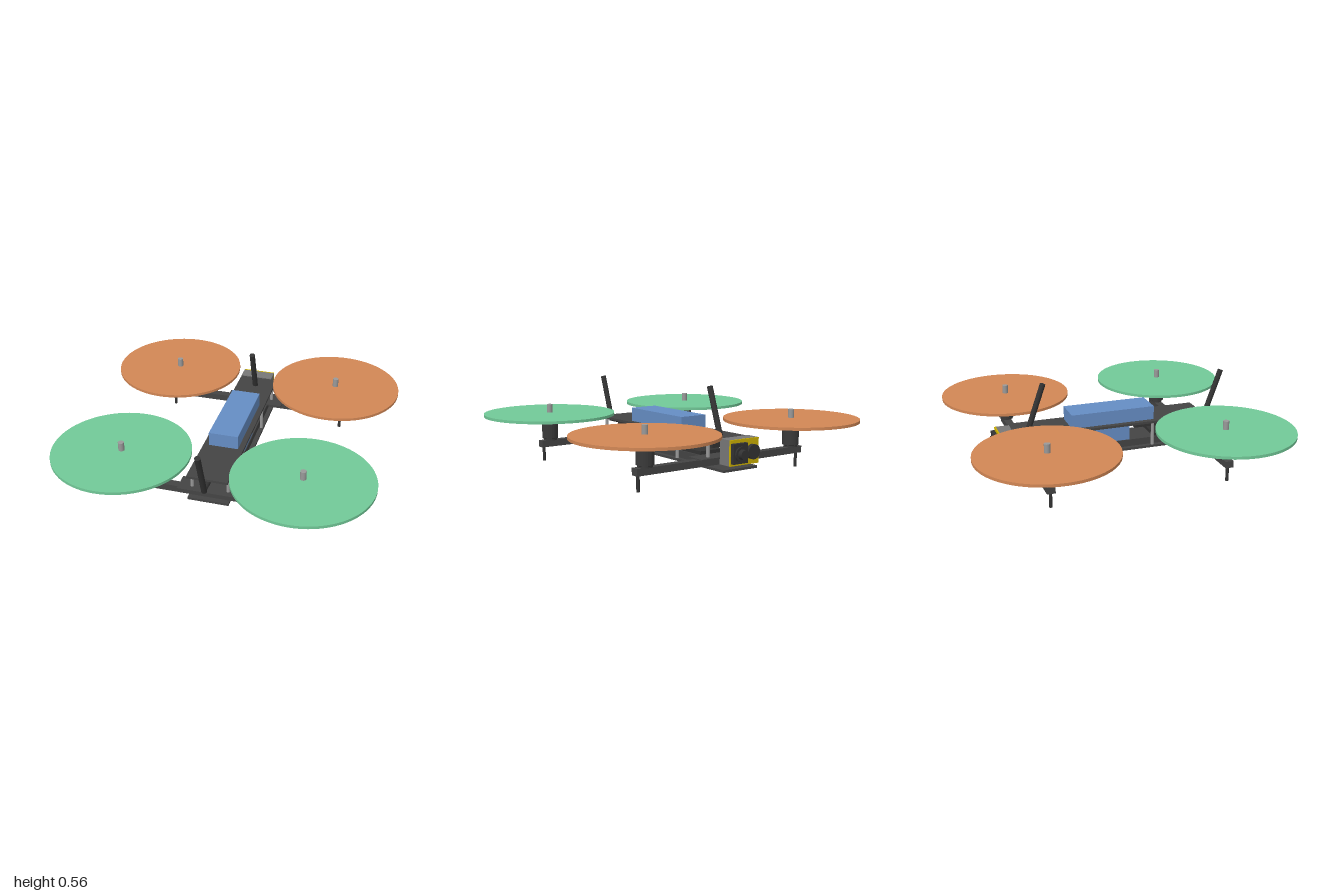
import * as THREE from 'three';

const mat = (color, flatShading = false) => new THREE.MeshStandardMaterial({ color, flatShading });
const dark = mat(0x444444);
const black = mat(0x333333);
const metal = mat(0x999999);
const grey = mat(0x777777);
const blue = mat(0x658dc4);
const yellow = mat(0xccb000);
const green = mat(0x72c998);
const orange = mat(0xd28755);

export function createModel() {
  const model = new THREE.Group();
  model.name = 'quadcopter';

  const add = (name, geometry, material, parent = model) => {
    const mesh = new THREE.Mesh(geometry, material);
    mesh.name = name;
    parent.add(mesh);
    return mesh;
  };
  // Box given by its minimum and maximum on each axis
  const box = (name, material, [x0, x1], [y0, y1], [z0, z1]) => {
    const mesh = add(name, new THREE.BoxGeometry(x1 - x0, y1 - y0, z1 - z0), material);
    mesh.position.set((x0 + x1) / 2, (y0 + y1) / 2, (z0 + z1) / 2);
    return mesh;
  };
  // Cylinder between two points
  const rod = (name, material, radius, from, to, sides = 20) => {
    const a = new THREE.Vector3(...from), b = new THREE.Vector3(...to);
    const dir = b.clone().sub(a);
    const mesh = add(name, new THREE.CylinderGeometry(radius, radius, dir.length(), sides), material);
    mesh.position.copy(a).add(b).multiplyScalar(0.5);
    mesh.quaternion.setFromUnitVectors(new THREE.Vector3(0, 1, 0), dir.normalize());
    return mesh;
  };

  // Body plates and central spine
  box('bottomPlate', dark, [-0.13, 0.13], [0.077, 0.092], [-0.735, 0.625]);
  box('spine', dark, [-0.1, 0.1], [0.092, 0.138], [-0.58, 0.58]);
  box('topPlate', dark, [-0.13, 0.13], [0.245, 0.26], [-0.65, 0.64]);

  // Batteries
  box('battery', blue, [-0.095, 0.095], [0.26, 0.35], [-0.28, 0.28]);
  box('innerBattery', blue, [-0.095, 0.095], [0.138, 0.245], [-0.09, 0.11]);

  // Electronics inside the frame
  for (const s of [-1, 1]) {
    const span = (a, b) => (s > 0 ? [a, b] : [-b, -a]);
    box('speedController', black, [-0.09, 0.09], [0.138, 0.16], span(0.28, 0.465));
    box('hangingBoard', black, [-0.06, 0.06], [0.2, 0.245], span(0.16, 0.36));
    box('radioBox', black, [-0.05, 0.05], [0.185, 0.24], span(0.37, 0.53));
    // Front and rear arms with their clamps
    box('arm', dark, [-0.64, 0.64], [0.095, 0.138], span(0.542, 0.594));
    box('armClamp', dark, [-0.2, 0.2], [0.136, 0.144], span(0.49, 0.62));
    // Spacers between the plates
    for (const x of [-0.115, 0.115]) {
      for (const z of [0.265, 0.57]) rod('spacer', metal, 0.011, [x, 0.09, s * z], [x, 0.246, s * z], 12);
    }
  }

  // Motors, propeller discs and legs
  const motorProfile = [[0, 0.138], [0.044, 0.138], [0.044, 0.148], [0.053, 0.152],
    [0.053, 0.245], [0.049, 0.25], [0, 0.25]].map(([r, y]) => new THREE.Vector2(r, y));
  for (const x of [-0.567, 0.567]) {
    for (const z of [-0.567, 0.567]) {
      const motor = add('motor', new THREE.LatheGeometry(motorProfile, 24), mat(0x3a3a3a, true));
      motor.position.set(x, 0, z);
      rod('motorShaft', metal, 0.019, [x, 0.25, z], [x, 0.38, z]);
      rod('propellerDisc', z > 0 ? green : orange, 0.433, [x, 0.307, z], [x, 0.325, z], 72);
      const legX = Math.sign(x) * 0.615;
      rod('leg', black, 0.01, [legX, 0, z], [legX, 0.1, z], 12);
    }
  }

  // Antennas, both leaning forward
  rod('antennaMount', black, 0.015, [0, 0.218, 0.5], [0, 0.218, 0.7]);
  rod('frontAntenna', black, 0.018, [0, 0.21, 0.69], [0, 0.52, 0.8]);
  rod('rearAntenna', black, 0.018, [0, 0.25, -0.545], [0, 0.55, -0.44]);

  // Camera at the rear, with two lenses
  box('cameraBody', grey, [-0.13, 0.09], [0.11, 0.265], [-0.735, -0.65]);
  box('cameraFace', yellow, [-0.13, 0.09], [0.11, 0.265], [-0.745, -0.735]);
  rod('smallLens', black, 0.045, [-0.075, 0.185, -0.745], [-0.075, 0.185, -0.77], 24);
  box('lensBase', black, [-0.025, 0.085], [0.125, 0.245], [-0.77, -0.745]);
  rod('lensRing', black, 0.045, [0.03, 0.182, -0.77], [0.03, 0.182, -0.78], 24);
  rod('largeLens', black, 0.03, [0.03, 0.182, -0.78], [0.03, 0.182, -0.81], 24);

  return model;
}
